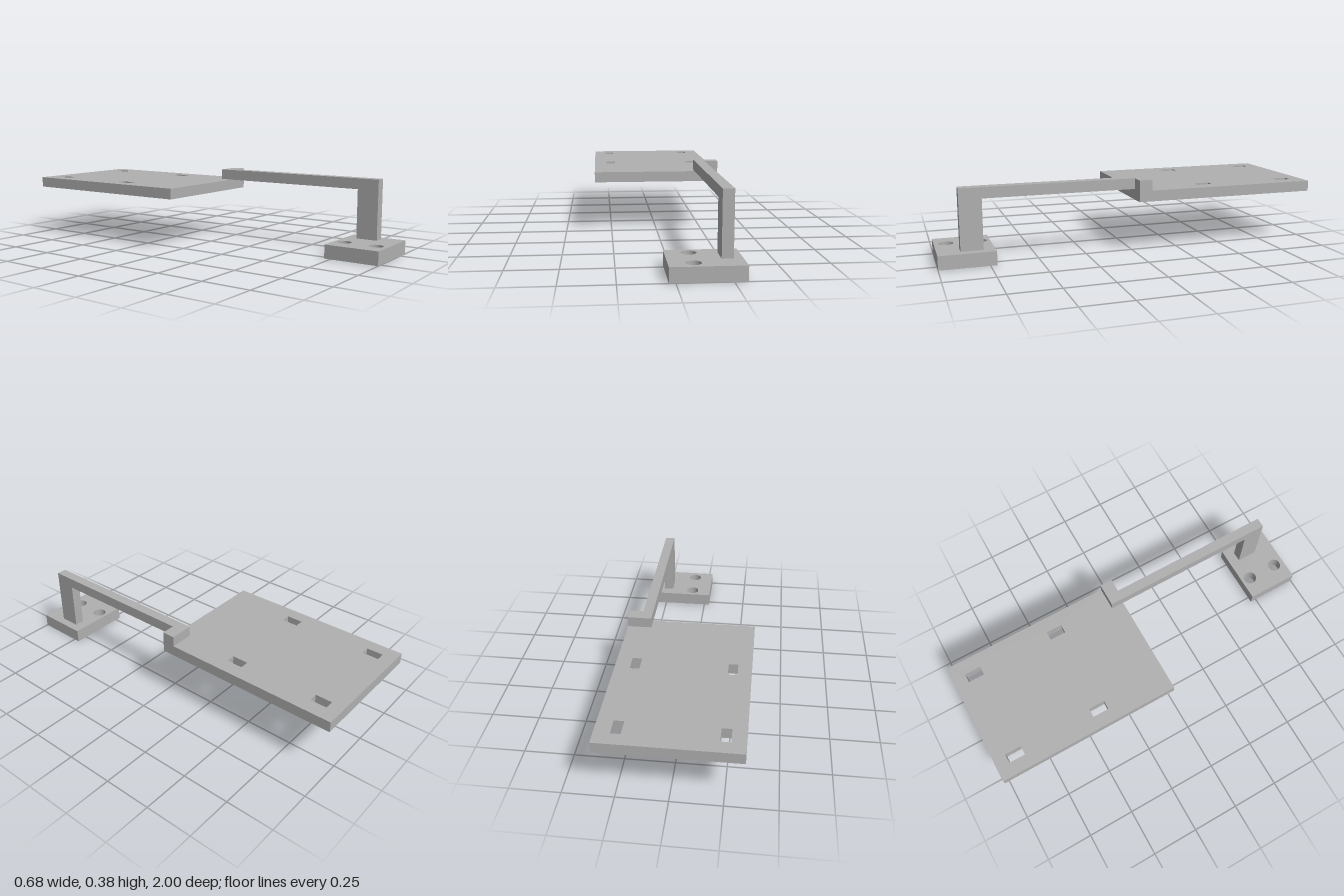
import * as THREE from 'three';

const gray = new THREE.MeshStandardMaterial({ color: 0xb0b0b0 });
gray.name = 'plain gray';

// Closed rectangle outline in plan: x to the right, z measured towards the front
function rectangle(Type, x0, x1, z0, z1) {
  const outline = new Type();
  outline.moveTo(x0, -z1);
  outline.lineTo(x1, -z1);
  outline.lineTo(x1, -z0);
  outline.lineTo(x0, -z0);
  outline.closePath();
  return outline;
}

// Flat slab lying between y0 and y1
function slab(name, shape, y0, y1) {
  const geometry = new THREE.ExtrudeGeometry(shape, { depth: y1 - y0, bevelEnabled: false, curveSegments: 32 });
  geometry.rotateX(-Math.PI / 2).translate(0, y0, 0);
  const mesh = new THREE.Mesh(geometry, gray);
  mesh.name = name;
  return mesh;
}

export function createModel() {
  const model = new THREE.Group();
  model.name = 'mountingBracket';

  // Large plate with four slots
  const plate = rectangle(THREE.Shape, -0.34, 0.34, -1, -0.01);
  for (const x of [-0.247, 0.239]) {
    for (const z of [-0.888, -0.408]) {
      plate.holes.push(rectangle(THREE.Path, x - 0.024, x + 0.024, z - 0.043, z + 0.043));
    }
  }
  model.add(slab('slottedPlate', plate, 0.271, 0.327));

  // Raised corner tab that joins the arm to the plate
  model.add(slab('cornerTab', rectangle(THREE.Shape, 0.213, 0.34, -0.078, -0.01), 0.327, 0.383));

  // Foot with two round screw holes
  const foot = rectangle(THREE.Shape, -0.03, 0.311, 0.717, 1);
  for (const z of [0.77, 0.94]) {
    const hole = new THREE.Path();
    hole.absarc(0.082, -z, 0.036, 0, Math.PI * 2, true);
    foot.holes.push(hole);
  }
  model.add(slab('foot', foot, 0, 0.071));

  // Arm and post as one bent profile in z and y
  const profile = new THREE.Shape([
    [-0.01, 0.327], [0.775, 0.327], [0.775, 0.071],
    [0.887, 0.071], [0.887, 0.383], [-0.01, 0.383],
  ].map(([z, y]) => new THREE.Vector2(z, y)));
  const armGeometry = new THREE.ExtrudeGeometry(profile, { depth: 0.054, bevelEnabled: false });
  armGeometry.rotateY(-Math.PI / 2).translate(0.267, 0, 0);
  const arm = new THREE.Mesh(armGeometry, gray);
  arm.name = 'armAndPost';
  model.add(arm);

  return model;
}
